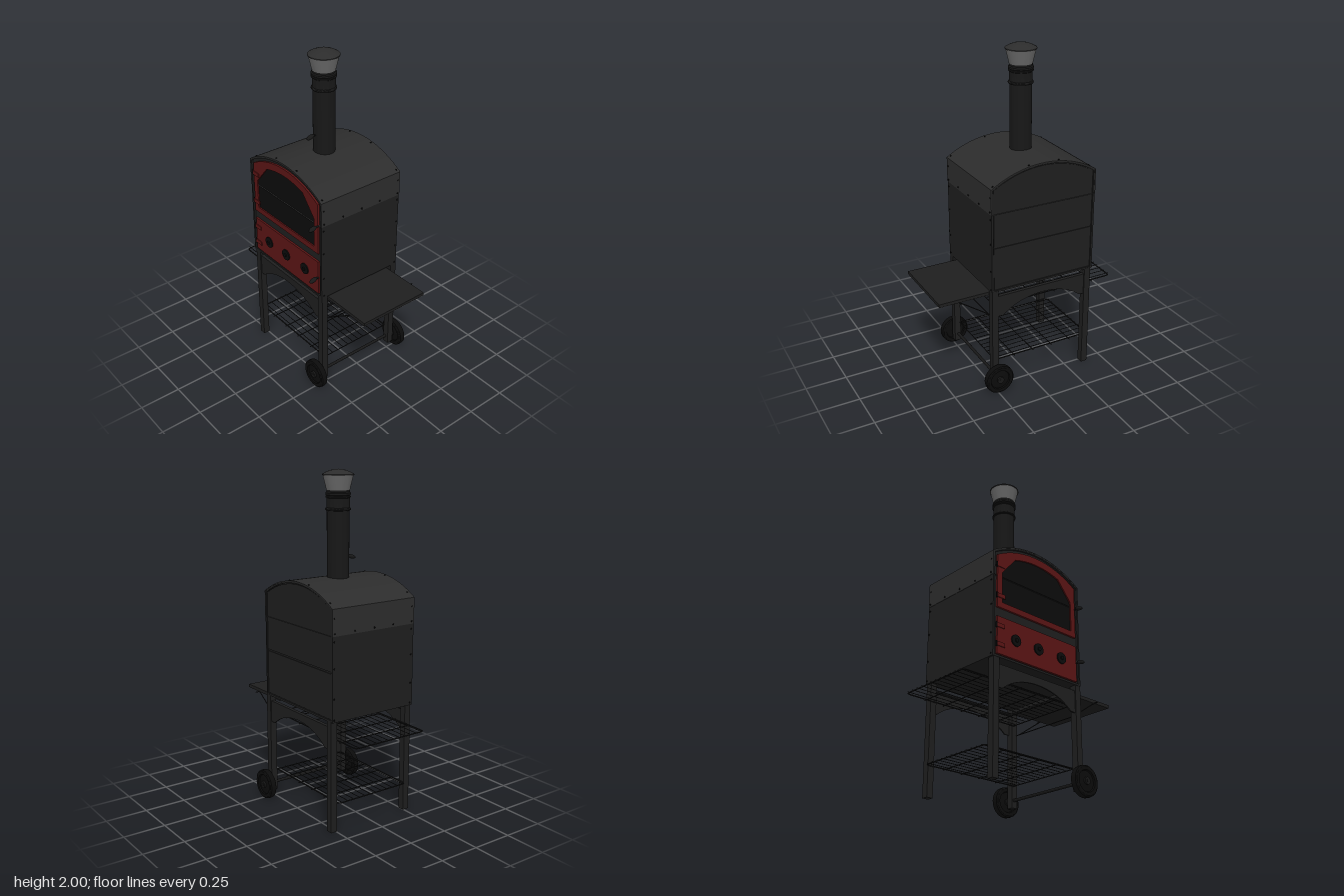
import * as THREE from 'three';
import { toCreasedNormals } from 'three/addons/utils/BufferGeometryUtils.js';

const mat = (color) => new THREE.MeshStandardMaterial({ color, side: THREE.DoubleSide });
const CZ = -0.07, HALF = 0.335, TOP = 1.39, R = 0.611, CY = TOP - R; // arched section

export function createModel() {
  const root = new THREE.Group();
  const body = mat(0x1e1e1e), sheet = mat(0x2c2c2c), black = mat(0x0b0b0b);
  const dark = mat(0x171717), red = mat(0x5a1414), steel = mat(0x6a6a6a);

  const add = (name, geo, m, x = 0, y = 0, z = 0, parent = root) => {
    const mesh = new THREE.Mesh(geo, m);
    mesh.name = name;
    mesh.position.set(x, y, z);
    parent.add(mesh);
    return mesh;
  };
  const box = (name, w, h, d, m, x, y, z) => add(name, new THREE.BoxGeometry(w, h, d), m, x, y, z);
  const group = (name) => {
    const g = new THREE.Group();
    g.name = name;
    root.add(g);
    return g;
  };
  // straight round bar between two points
  const rod = (name, a, b, r, m, parent = root, sides = 8) => {
    const p = new THREE.Vector3(...a), q = new THREE.Vector3(...b), d = q.clone().sub(p);
    const mesh = add(name, new THREE.CylinderGeometry(r, r, d.length(), sides), m, 0, 0, 0, parent);
    mesh.position.copy(p).add(q).multiplyScalar(0.5);
    mesh.quaternion.setFromUnitVectors(new THREE.Vector3(0, 1, 0), d.normalize());
    return mesh;
  };
  // side profile (drawn with -z to the right) extruded along x from x0 to x1
  const plate = (name, shape, x0, x1, m) => {
    const geo = new THREE.ExtrudeGeometry(shape, { depth: x1 - x0, bevelEnabled: false, curveSegments: 40 });
    geo.rotateY(Math.PI / 2);
    return add(name, toCreasedNormals(geo, 0.4), m, x0);
  };
  const archPath = (Kind, inset, y0, bottomInset = inset) => {
    const w = HALF - inset, r = R - inset, a = Math.asin(w / r), s = new Kind();
    s.moveTo(-CZ - w, y0 + bottomInset);
    s.lineTo(-CZ + w, y0 + bottomInset);
    s.lineTo(-CZ + w, CY + r * Math.cos(a));
    s.absarc(-CZ, CY, r, Math.PI / 2 - a, Math.PI / 2 + a, false);
    s.closePath();
    return s;
  };
  const rectShape = (w, y0, y1) => new THREE.Shape([
    new THREE.Vector2(-CZ - w, y0), new THREE.Vector2(-CZ + w, y0),
    new THREE.Vector2(-CZ + w, y1), new THREE.Vector2(-CZ - w, y1)]);

  // Oven body, lower wall band and arched roof sheet
  plate('ovenBody', archPath(THREE.Shape, 0.004, 0.655, 0), -0.277, 0.275, body);
  const wall = archPath(THREE.Shape, 0, 0.655);
  wall.holes.push(archPath(THREE.Path, 0.012, 0.655));
  plate('ovenRim', wall, -0.288, 0.284, body);
  const roof = archPath(THREE.Shape, -0.002, 1.14, 0);
  roof.holes.push(archPath(THREE.Path, 0.003, 1.14, 0.0001));
  plate('roofSheet', roof, -0.289, 0.286, sheet);

  // Closed end: two panels split by a seam
  plate('endPanelUpper', archPath(THREE.Shape, 0.016, 0.94, 0), 0.27, 0.28, body);
  plate('endPanelLower', rectShape(HALF - 0.016, 0.67, 0.93), 0.27, 0.28, body);

  // Oven door with window
  const door = archPath(THREE.Shape, 0.03, 0.95, 0);
  const win = new THREE.Path(), wr = R - 0.075, wa = Math.asin(0.17 / wr);
  win.moveTo(-CZ - 0.27, 0.985);
  win.lineTo(-CZ + 0.27, 0.985);
  win.lineTo(-CZ + 0.27, 1.17);
  win.absarc(-CZ, CY, wr, Math.PI / 2 - wa, Math.PI / 2 + wa, false);
  win.lineTo(-CZ - 0.27, 1.17);
  win.closePath();
  door.holes.push(win);
  plate('doorFrame', door, -0.289, -0.276, red);
  plate('doorWindow', archPath(THREE.Shape, 0.045, 0.955, 0), -0.281, -0.277, black);

  // Fire drawer with three round air vents
  plate('fireDoor', rectShape(HALF - 0.03, 0.675, 0.895), -0.289, -0.276, red);
  for (const z of [-0.24, -0.07, 0.11]) {
    rod('airVent', [-0.286, 0.785, z], [-0.296, 0.785, z], 0.034, black, root, 28);
    rod('ventKnob', [-0.294, 0.785, z], [-0.303, 0.785, z], 0.011, black, root, 14);
  }
  for (const y of [0.73, 0.84, 1.02, 1.21]) {
    box('hinge', 0.006, 0.024, 0.055, red, -0.291, y, -0.35);
    rod('hingePin', [-0.289, y - 0.016, -0.38], [-0.289, y + 0.016, -0.38], 0.005, black);
  }

  // Oval handles on doors and flue damper
  const handle = (name, x, y, z, stem) => {
    rod(name + 'Stem', [x, y, z], [x - stem, y, z], 0.005, dark);
    const grip = add(name, new THREE.SphereGeometry(1, 20, 12), dark, x - stem - 0.012, y - 0.003, z);
    grip.scale.set(0.027, 0.012, 0.014);
    grip.rotation.z = 0.3;
  };
  handle('doorHandle', -0.288, 1.135, 0.235, 0.024);
  handle('fireDoorHandle', -0.288, 0.79, 0.235, 0.024);
  handle('damperHandle', -0.06, 1.503, CZ, 0.026);

  // Chimney: ringed pipe, flared cowl and domed cap
  const lathe = (name, pts, m, z = CZ) => add(name, toCreasedNormals(
    new THREE.LatheGeometry(pts.map(([r, y]) => new THREE.Vector2(r, y)), 48), 0.5), m, 0, 0, z);
  lathe('chimneyPipe', [[0.064, 1.36], [0.064, 1.77], [0.071, 1.772], [0.073, 1.777], [0.071, 1.783],
    [0.066, 1.787], [0.066, 1.84], [0.072, 1.844], [0.072, 1.85], [0.067, 1.853], [0.072, 1.858],
    [0.072, 1.868], [0.066, 1.874], [0.066, 1.888], [0, 1.888]], dark);
  lathe('chimneyCowl', [[0.067, 1.885], [0.087, 1.968]], steel);
  lathe('chimneyCap', [[0, 1.964], [0.09, 1.966], [0.09, 1.972], [0.07, 1.983], [0.045, 1.993],
    [0.022, 1.998], [0, 2]], sheet);

  // Legs and arched side rails
  const apron = new THREE.Shape();
  apron.moveTo(-0.225, 0.622);
  apron.lineTo(-0.225, 0.49);
  apron.lineTo(-0.19, 0.49);
  apron.quadraticCurveTo(-0.09, 0.575, 0.07, 0.577);
  apron.quadraticCurveTo(0.225, 0.575, 0.325, 0.49);
  apron.lineTo(0.36, 0.49);
  apron.lineTo(0.36, 0.622);
  apron.closePath();
  for (const s of [-1, 1]) {
    box('frontLeg', 0.04, 0.615, 0.04, body, s * 0.265, 0.3525, 0.245);
    box('backLeg', 0.04, 0.66, 0.04, body, s * 0.265, 0.33, -0.375);
    plate('sideRail', apron, s * 0.275 - 0.004, s * 0.275 + 0.004, body);
    box('railFlange', 0.02, 0.006, 0.58, body, s * 0.267, 0.619, -0.065);
  }

  // Wheels and axle
  rod('axle', [-0.345, 0.09, 0.24], [0.345, 0.09, 0.24], 0.009, dark, root, 14);
  for (const s of [-1, 1]) {
    const wheel = lathe('wheel', [[0, -0.015], [0.045, -0.015], [0.058, -0.012], [0.062, -0.02], [0.08, -0.021],
      [0.088, -0.016], [0.09, 0], [0.088, 0.016], [0.08, 0.021], [0.062, 0.02], [0.058, 0.012],
      [0.045, 0.015], [0, 0.015]], black, 0.24);
    wheel.rotation.z = Math.PI / 2;
    wheel.position.set(s * 0.316, 0.09, 0.24);
    rod('wheelHub', [s * 0.29, 0.09, 0.24], [s * 0.342, 0.09, 0.24], 0.021, dark, root, 20);
  }

  // Wire racks: rounded frame, lengthwise wires and cross bars
  const rack = (name, y, z0, z1) => {
    const g = group(name), w = 0.243, c = 0.02;
    const V = (x, z) => new THREE.Vector3(x, y, z);
    const path = new THREE.CurvePath();
    path.add(new THREE.LineCurve3(V(-w, z1), V(-w, z0 + c)));
    path.add(new THREE.QuadraticBezierCurve3(V(-w, z0 + c), V(-w, z0), V(-w + c, z0)));
    path.add(new THREE.LineCurve3(V(-w + c, z0), V(w - c, z0)));
    path.add(new THREE.QuadraticBezierCurve3(V(w - c, z0), V(w, z0), V(w, z0 + c)));
    path.add(new THREE.LineCurve3(V(w, z0 + c), V(w, z1)));
    add('rackFrame', new THREE.TubeGeometry(path, 120, 0.004, 6), dark, 0, 0, 0, g);
    for (let i = 0; i < 12; i++) {
      const x = -0.223 + i * 0.0405;
      rod('rackWire', [x, y + 0.003, z0 - 0.008], [x, y + 0.003, z1], 0.0022, dark, g, 6);
    }
    const n = Math.round((z1 - z0) / 0.128);
    for (let i = 1; i <= n; i++) {
      const z = z0 + (i * (z1 - z0)) / n;
      rod('rackCrossBar', [-0.255, y - 0.003, z], [0.255, y - 0.003, z], 0.003, dark, g, 6);
    }
  };
  rack('lowerRack', 0.175, -0.41, 0.23);
  rack('upperRack', 0.546, -0.562, 0.23);

  // Front shelf on a bent wire brace
  box('frontShelf', 0.456, 0.02, 0.36, body, 0, 0.625, 0.39);
  const brace = group('shelfBrace');
  rod('braceBar', [-0.25, 0.49, 0.262], [0.25, 0.49, 0.262], 0.003, dark, brace);
  for (const s of [-1, 1]) {
    rod('braceArm', [s * 0.226, 0.49, 0.262], [s * 0.226, 0.616, 0.445], 0.003, dark, brace);
    rod('braceEnd', [s * 0.222, 0.616, 0.445], [s * 0.255, 0.616, 0.445], 0.003, dark, brace);
  }

  // Bolts on walls, roof and ends
  const bolts = group('bolts');
  const boltGeo = new THREE.SphereGeometry(0.005, 8, 6);
  const bolt = (x, y, z) => add('bolt', boltGeo, black, x, y, z, bolts);
  for (const z of [0.268, -0.408]) for (const x of [-0.27, -0.135, 0, 0.135, 0.27]) bolt(x, 1.155, z);
  for (const s of [-1, 1]) {
    for (const z of [0.25, 0.025, -0.165, -0.365]) {
      bolt(s * 0.27, CY + Math.sqrt(R * R - (z - CZ) ** 2) + 0.002, z);
    }
    for (const z of [0.265, -0.405]) for (const y of [0.67, 0.79, 0.96, 1.11, 1.24]) bolt(s * 0.272, y, z);
  }
  return root;
}
